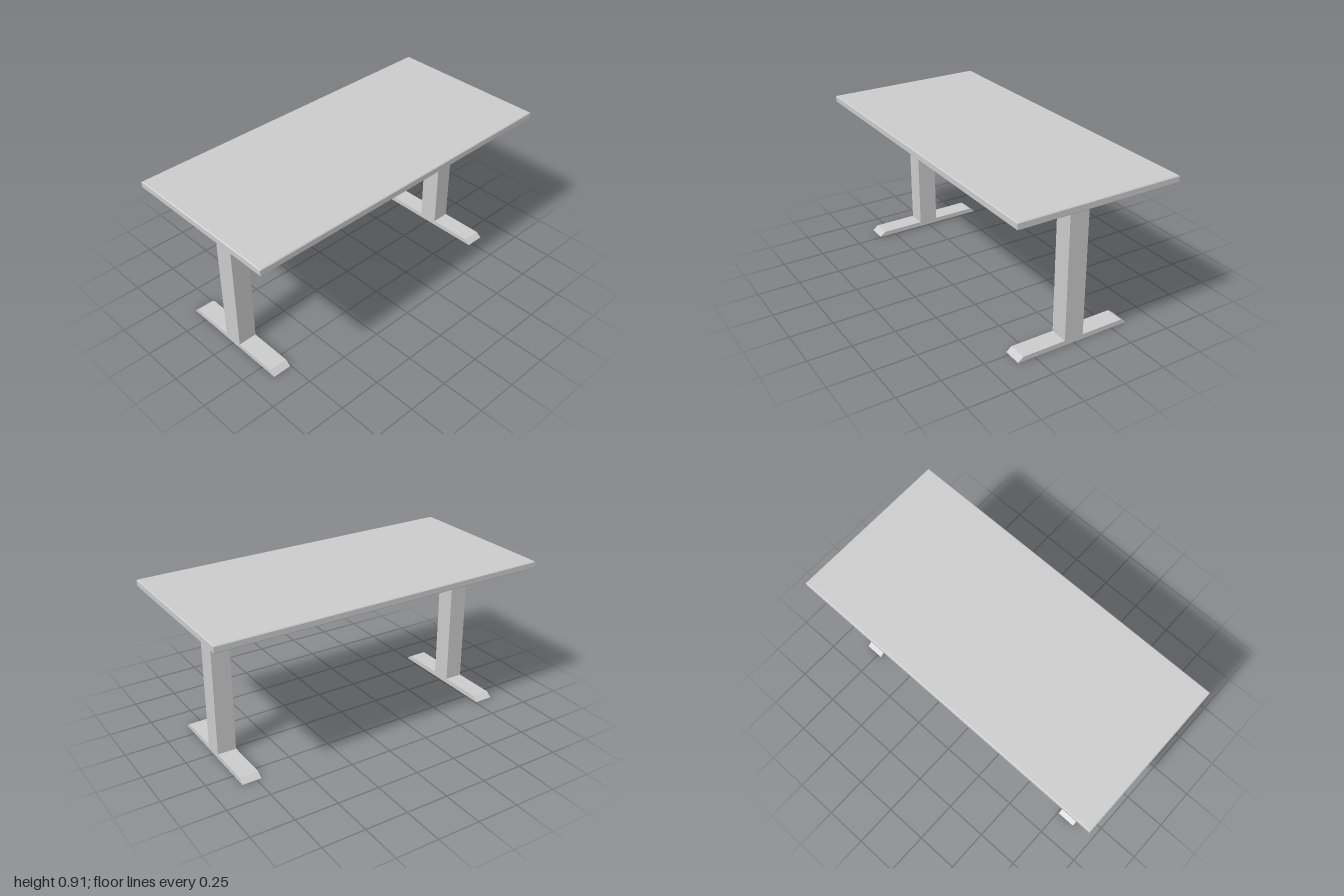
import * as THREE from 'three';

const material = new THREE.MeshStandardMaterial({ color: 0xcccccc, flatShading: true });

function addMesh(parent, geometry, name) {
  const mesh = new THREE.Mesh(geometry, material);
  mesh.name = name;
  parent.add(mesh);
  return mesh;
}

// Mirrors a half outline (running bottom to top on +x) into a closed shape
function mirroredShape(half) {
  const left = half.map(([x, y]) => [-x, y]).reverse();
  return new THREE.Shape([...half, ...left].map(([x, y]) => new THREE.Vector2(x, y)));
}

// Slab with a fine chamfer along its top and bottom edges
function createTop() {
  const bevel = 0.005, bottom = 0.867, top = 0.908;
  const geometry = new THREE.ExtrudeGeometry(
    mirroredShape([[0.48 - bevel, -1 + bevel], [0.48 - bevel, 1 - bevel]]),
    { depth: top - bottom - 2 * bevel, bevelThickness: bevel, bevelSize: bevel, bevelSegments: 1 }
  );
  geometry.rotateX(-Math.PI / 2);
  geometry.translate(0, bottom + bevel, 0);
  return geometry;
}

// Foot with sloped ends and outer column share one flush outline
function createLeg(frontZ) {
  const leg = new THREE.Group();
  const depth = 0.11, columnTop = 0.8, underside = 0.868;

  const outline = mirroredShape([
    [0.35, 0], [0.35, 0.003], [0.318, 0.028], [0.058, 0.028], [0.058, columnTop]
  ]);
  addMesh(leg, new THREE.ExtrudeGeometry(outline, { depth, bevelEnabled: false }), 'footAndColumn')
    .position.z = -depth;

  // Inner telescoping post, flush with the column's front face
  const postDepth = 0.104;
  addMesh(leg, new THREE.BoxGeometry(0.106, underside - columnTop, postDepth), 'innerPost')
    .position.set(0, (columnTop + underside) / 2, -postDepth / 2);

  leg.position.z = frontZ;
  return leg;
}

export function createModel() {
  const model = new THREE.Group();
  model.name = 'desk';
  addMesh(model, createTop(), 'tableTop');

  for (const [name, z] of [['frontLeg', 0.866], ['backLeg', -0.725]]) {
    const leg = createLeg(z);
    leg.name = name;
    model.add(leg);
  }
  return model;
}
